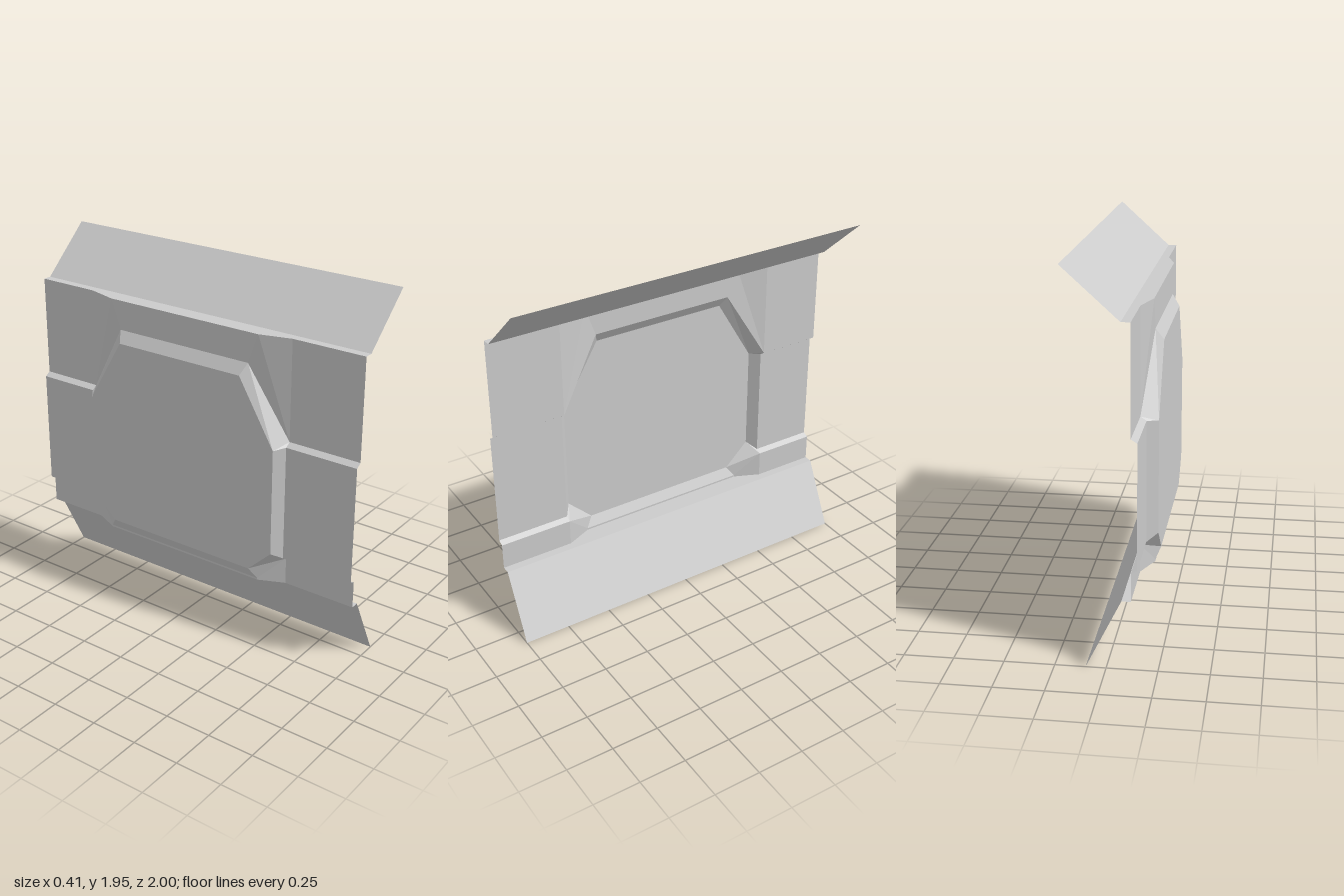
import * as THREE from 'three';

const material = new THREE.MeshStandardMaterial({ color: 0xcccccc, flatShading: true, side: THREE.DoubleSide });
const BAY_Z = -0.028; // centre line of the recessed bay

// Mesh from convex polygons, each a loop of [x, y, z] corners
function facets(name, polygons) {
  const pos = [];
  for (const p of polygons)
    for (let i = 1; i < p.length - 1; i++) pos.push(...p[0], ...p[i], ...p[i + 1]);
  const geo = new THREE.BufferGeometry();
  geo.setAttribute('position', new THREE.Float32BufferAttribute(pos, 3));
  geo.computeVertexNormals();
  const mesh = new THREE.Mesh(geo, material);
  mesh.name = name;
  return mesh;
}

export function createModel() {
  const group = new THREE.Group();
  group.name = 'wallPanel';

  // Corners of one half of the panel: side is +1 or -1, w is the distance from the bay centre
  const half = (side) => {
    const at = (x, y, w) => [x, y, BAY_Z + side * w];
    return {
      rim: [
        at(-0.165, 1.54, 0.403), at(-0.12, 1.16, 0.627), at(-0.15, 1.14, 0.627),
        at(-0.15, 0.515, 0.627), at(-0.12, 0.5, 0.627), at(-0.18, 0.365, 0.49),
      ],
      floor: [
        at(-0.205, 1.48, 0.378), at(-0.205, 1.13, 0.585),
        at(-0.205, 0.55, 0.585), at(-0.205, 0.42, 0.45),
      ],
      // Upper and lower wall edges, from the bulge outwards
      top: [at(-0.165, 1.7, 0.46), at(-0.12, 1.7, 0.627), [-0.12, 1.7, side]],
      bottom: [at(-0.18, 0.355, 0.49), at(-0.12, 0.355, 0.627), [-0.12, 0.355, side]],
    };
  };
  const L = half(1), R = half(-1);

  // Mirrored side walls and bevels
  for (const [h, side, label] of [[L, 1, 'left'], [R, -1, 'right']]) {
    const [A, B, B2, C, C2, D] = h.rim;
    const [a, b, c, d] = h.floor;
    const end = (p) => [p[0], p[1], side];
    group.add(facets(label + 'Wall', [
      [h.top[1], h.top[2], end(B), B],
      [B, end(B), end(B2), B2],
      [B2, end(B2), end(C), C],
      [C, end(C), end(C2), C2],
      [C2, end(C2), h.bottom[2], h.bottom[1]],
      [h.top[0], h.top[1], B, A],
      [D, C2, h.bottom[1], h.bottom[0]],
    ]));
    group.add(facets(label + 'Bevel', [
      [A, B, b, a], [B, B2, b], [B2, C, c, b], [C, C2, c], [C2, D, d, c],
    ]));
  }

  // Centre strips above and below the bay, bevels and recessed floor
  group.add(facets('centreWall', [
    [L.top[0], R.top[0], R.rim[0], L.rim[0]],
    [L.rim[5], R.rim[5], R.bottom[0], L.bottom[0]],
  ]));
  group.add(facets('centreBevels', [
    [L.rim[0], R.rim[0], R.floor[0], L.floor[0]],
    [L.floor[3], R.floor[3], R.rim[5], L.rim[5]],
  ]));
  group.add(facets('recessedPanel', [[...L.floor, ...[...R.floor].reverse()]]));

  // Horizontal ledges and the sloping flanges that lean towards +x
  for (const [key, y, tipX, tipY] of [['top', 1.7, 0.2, 1.95], ['bottom', 0.355, 0.1, 0]]) {
    const edge = [...[...L[key]].reverse(), ...R[key]];
    const strips = [];
    for (let i = 0; i < edge.length - 1; i++) {
      const p = edge[i], q = edge[i + 1];
      strips.push([p, q, [-0.075, y, q[2]], [-0.075, y, p[2]]]);
    }
    group.add(facets(key + 'Ledge', strips));
    group.add(facets(key + 'Flange', [
      [[-0.075, y, 1], [-0.075, y, -1], [tipX, tipY, -1], [tipX, tipY, 1]],
    ]));
  }
  return group;
}
